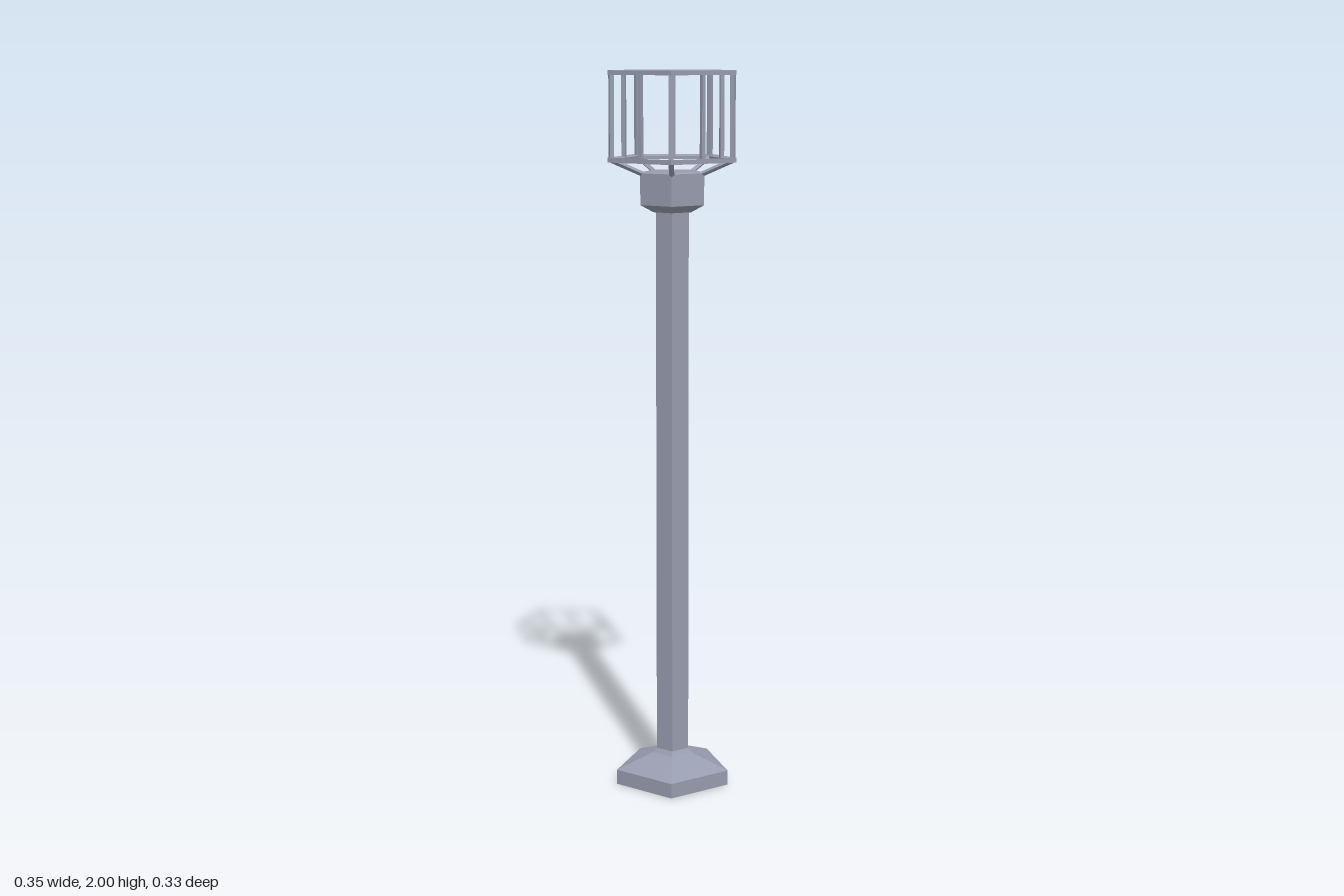
import * as THREE from 'three';

const SIDES = 5;
const metal = new THREE.MeshStandardMaterial({ color: 0x979cae, flatShading: true });

// Five-sided solid from a [radius, height] profile, one corner pointing to the back
function pentagon(name, profile) {
  const points = profile.map(([r, y]) => new THREE.Vector2(r, y));
  const mesh = new THREE.Mesh(new THREE.LatheGeometry(points, SIDES, Math.PI), metal);
  mesh.name = name;
  return mesh;
}

// Five-sided hoop whose top face dips slightly towards the inside
function hoop(name, inner, outer, bottom, top) {
  return pentagon(name, [[inner, bottom], [outer, bottom], [outer, top], [inner, top - 0.005], [inner, bottom]]);
}

function bar(name, w, h, d, y, z) {
  const mesh = new THREE.Mesh(new THREE.BoxGeometry(w, h, d), metal);
  mesh.name = name;
  mesh.position.set(0, y, z);
  return mesh;
}

export function createModel() {
  const model = new THREE.Group();
  model.name = 'lampPost';
  const post = new THREE.Group();
  post.name = 'post';
  post.position.z = 0.017; // centres the pentagon's depth
  model.add(post);

  // Foot, pole and collar
  post.add(pentagon('base', [[0, 0], [0.165, 0], [0.165, 0.042], [0.058, 0.083], [0.047, 0.096]]));
  post.add(pentagon('pole', [[0.047, 0.09], [0.047, 1.63]]));
  post.add(pentagon('collar', [[0.047, 1.62], [0.054, 1.62], [0.091, 1.64], [0.091, 1.726], [0.083, 1.73], [0, 1.73]]));

  // Open lantern cage
  const cage = new THREE.Group();
  cage.name = 'lanternCage';
  post.add(cage);
  cage.add(hoop('lowerRim', 0.166, 0.1815, 1.756, 1.769));
  cage.add(hoop('upperRim', 0.166, 0.181, 1.988, 2));

  const inner = new THREE.Vector2(0.083, 1.723);
  const outer = new THREE.Vector2(0.172, 1.762);
  const slope = outer.clone().sub(inner);
  const apothem = 0.1735 * Math.cos(Math.PI / SIDES);
  for (let i = 0; i < SIDES; i++) {
    // Corner upright and the strut that carries it, set edge up
    const corner = new THREE.Group();
    corner.name = 'cageCorner';
    corner.rotation.y = Math.PI + (i * 2 * Math.PI) / SIDES;
    corner.add(bar('cornerUpright', 0.012, 0.23, 0.012, 1.878, 0.171));
    const strut = bar('strut', 0.01, 0.01, slope.length(), (inner.y + outer.y) / 2, (inner.x + outer.x) / 2);
    strut.rotation.set(-slope.angle(), 0, Math.PI / 4);
    corner.add(strut);
    cage.add(corner);

    // Upright at the middle of each side
    const side = new THREE.Group();
    side.name = 'cageSide';
    side.rotation.y = corner.rotation.y + Math.PI / SIDES;
    side.add(bar('middleUpright', 0.011, 0.23, 0.011, 1.878, apothem));
    cage.add(side);
  }
  return model;
}
